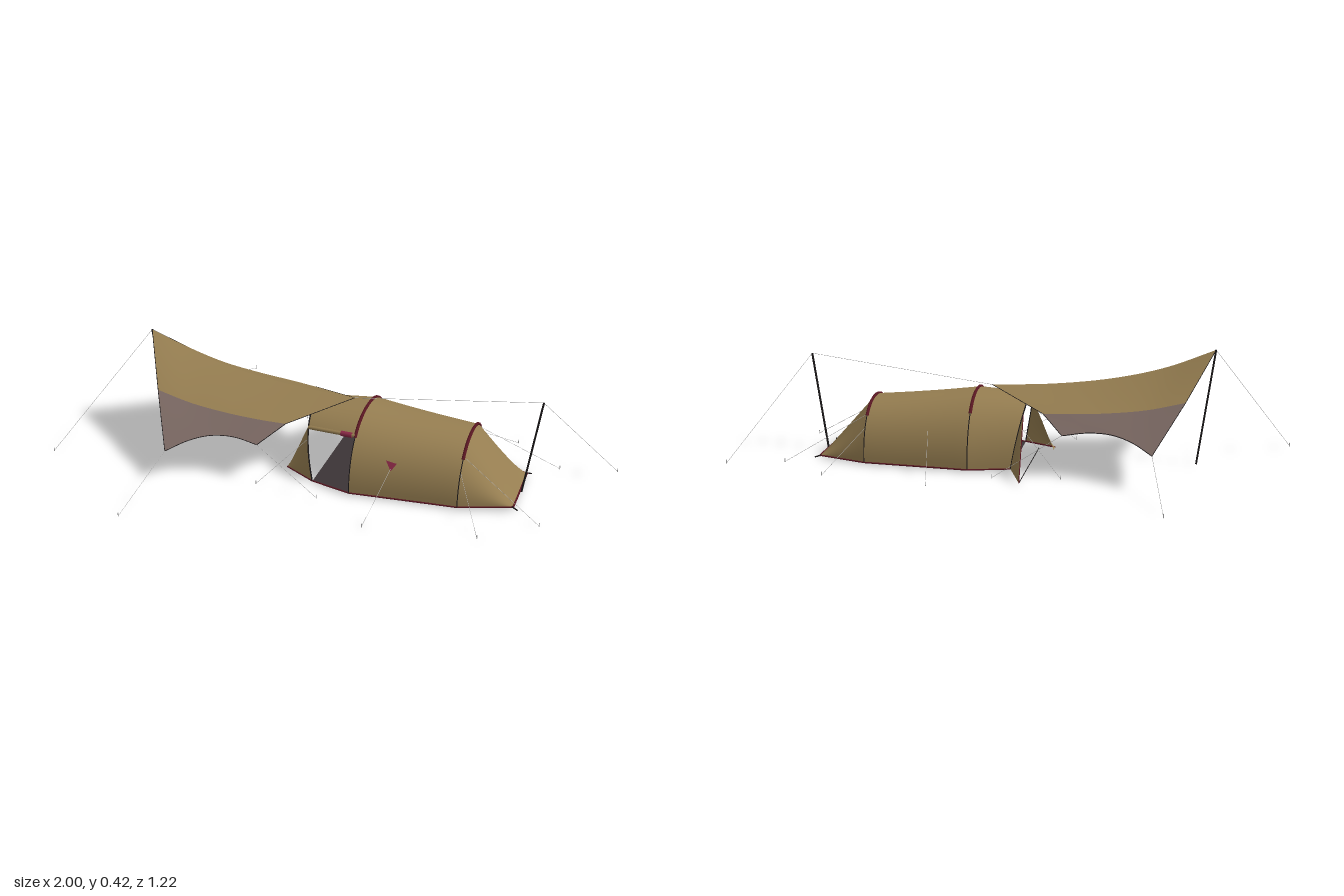
import * as THREE from 'three';

const mat = (name, color, side = THREE.FrontSide) => {
  const m = new THREE.MeshStandardMaterial({ color, side });
  m.name = name;
  return m;
};
const V = (x, y, z) => new THREE.Vector3(x, y, z);
const RAD = Math.PI / 180;

export function createModel() {
  const model = new THREE.Group();
  model.name = 'tunnelTentWithTarp';
  const gold = mat('golden canvas', 0x967e51, THREE.DoubleSide);
  const grey = mat('grey canvas', 0x7a6862);
  const brown = mat('brown tarp lining', 0x5e4638);
  const dark = mat('dark groundsheet', 0x3c3436, THREE.DoubleSide);
  const maroon = mat('maroon trim', 0x5a1622);
  const crimson = mat('crimson tabs', 0x8e2a48, THREE.DoubleSide);
  const black = mat('black pole', 0x1c191a);
  const cord = mat('cord grey', 0xb4b4b4);

  const add = (name, geometry, material) => {
    const m = new THREE.Mesh(geometry, material);
    m.name = name;
    model.add(m);
    return m;
  };

  // Smooth sheet sampled from a rule f(u, v)
  const sheet = (f, nu, nv) => {
    const pos = [], idx = [];
    for (let j = 0; j <= nv; j++)
      for (let i = 0; i <= nu; i++) pos.push(...f(i / nu, j / nv).toArray());
    for (let j = 0; j < nv; j++)
      for (let i = 0; i < nu; i++) {
        const a = j * (nu + 1) + i, b = a + nu + 1;
        idx.push(a, a + 1, b, a + 1, b + 1, b);
      }
    const g = new THREE.BufferGeometry();
    g.setAttribute('position', new THREE.Float32BufferAttribute(pos, 3));
    g.setIndex(idx);
    g.computeVertexNormals();
    return g;
  };

  // Straight rod between two points
  const rod = (name, a, b, r, material) => {
    const d = b.clone().sub(a);
    const m = add(name, new THREE.CylinderGeometry(r, r, d.length(), 6), material);
    m.position.copy(a).addScaledVector(d, 0.5);
    m.quaternion.setFromUnitVectors(V(0, 1, 0), d.normalize());
  };
  const tube = (name, pts, r, material) =>
    add(name, new THREE.TubeGeometry(new THREE.CatmullRomCurve3(pts), 48, r, 6), material);

  // Hoop cross-sections: angle 0 is the +z foot, PI the -z foot
  const spow = (v, p) => Math.sign(v) * Math.pow(Math.abs(v), p);
  const hoop = (x, w, h, lean = 0) => (t, s = 1) =>
    V(x - lean * Math.sin(t), 0.006 + (h - 0.006) * Math.pow(Math.abs(Math.sin(t)), 0.92) * s, w * spow(Math.cos(t), 0.9) * s);
  const hoop1 = hoop(-0.015, 0.185, 0.237, 0.045);
  const hoop2 = hoop(0.133, 0.22, 0.25);
  const hoop3 = hoop(0.513, 0.185, 0.212);
  const foot = (x) => (t) => V(x, 0.008, 0.12 * spow(Math.cos(t), 0.9));
  const ruled = (a, b, t0, t1, sag = 0) => sheet((u, v) => {
    const t = (t0 + (t1 - t0) * u) * RAD;
    const p = a(t).lerp(b(t), v), k = 1 - sag * Math.sin(Math.PI * v);
    return V(p.x, p.y * k, p.z * k);
  }, 40, 8);

  // Tent canvas
  add('mainTunnel', ruled(hoop2, hoop3, 0, 180, 0.012), gold);
  add('rearEnd', ruled(hoop3, foot(0.695), 0, 180), gold);
  add('porchCanopy', ruled(hoop1, hoop2, 50, 180), gold);
  add('porchFrontPanel', ruled(hoop1, foot(-0.135), 0, 52), gold);

  // Opened door flap, pegged out to the side
  const tip = V(-0.068, 0.006, -0.343);
  add('openDoorFlap', sheet((u, v) => hoop1((180 - 52 * u) * RAD).lerp(tip, v), 12, 6), gold);
  rod('flapEdge', hoop1(128 * RAD), tip, 0.0018, maroon);
  rod('flapCord', V(-0.105, 0.066, -0.11), tip, 0.0014, black);

  // Rolled-up side door with its tie
  const rollA = hoop1(50 * RAD), rollB = hoop2(50 * RAD);
  rod('rolledDoor', rollA, rollB, 0.007, gold);
  rod('doorTie', rollA.clone().lerp(rollB, 0.7), rollA.clone().lerp(rollB, 0.93), 0.0095, crimson);

  // Groundsheet
  const half = [[-0.015, 0.185], [0.133, 0.22], [0.513, 0.185], [0.695, 0.12]];
  const outline = [...half, ...half.map(([x, z]) => [x, -z]).reverse()];
  const floor = new THREE.ShapeGeometry(new THREE.Shape(outline.map(([x, z]) => new THREE.Vector2(x, -z))));
  add('groundsheet', floor.rotateX(-Math.PI / 2).translate(0, 0.005, 0), dark);

  // Trim along the sides, rear and front panel hem
  for (let i = 0; i < outline.length - 1; i++) {
    const [x, z] = outline[i], [x2, z2] = outline[i + 1];
    rod('baseTrim', V(x, 0.007, z), V(x2, 0.007, z2), i === 3 ? 0.004 : 0.0028, maroon);
  }
  rod('baseTrim', V(-0.135, 0.007, 0.12), V(-0.015, 0.007, 0.185), 0.0028, maroon);

  // Inner tent wall behind the porch
  add('innerWall', sheet((u, v) => {
    const p = hoop2(u * Math.PI, 0.97);
    return V(0.14, p.y * v + 0.006 * (1 - v), p.z);
  }, 32, 2), dark);

  // Hoop poles and the sleeves over their tops
  [hoop1, hoop2, hoop3].forEach((h, i) => {
    const arc = (a, b) => Array.from({ length: 17 }, (_, k) => h((a + (b - a) * k / 16) * RAD, 1.003));
    tube('hoopPole', arc(0, 180), i ? 0.0017 : 0.0025, black);
    if (i) tube('hoopSleeve', arc(48, 132), 0.0058, maroon);
  });

  // Tarp: ridge, panel seam and scalloped outer edge, with a darker lining
  const curve = (...p) => new THREE.CatmullRomCurve3(p.map((q) => V(...q)));
  const ridge = curve([-0.71, 0.415, 0], [-0.54, 0.348, 0], [-0.36, 0.304, 0], [-0.14, 0.276, 0], [0.08, 0.265, 0]);
  const span = (a, b) => sheet((u, v) => a.getPoint(u).lerp(b.getPoint(u), v), 24, 6);
  for (const s of [1, -1]) {
    const seam = curve([-0.612, 0.262, 0.17 * s], [-0.48, 0.232, 0.172 * s], [-0.34, 0.215, 0.17 * s], [-0.22, 0.207, 0.165 * s], [-0.125, 0.202, 0.155 * s]);
    const edge = curve([-0.51, 0.12, 0.342 * s], [-0.44, 0.148, 0.288 * s], [-0.37, 0.162, 0.253 * s], [-0.29, 0.162, 0.237 * s], [-0.2, 0.15, 0.242 * s]);
    const panel = (name, inner, outer, top, lining) => {
      const [a, b] = s > 0 ? [outer, inner] : [inner, outer];
      add(name, span(a, b), top).material.side = THREE.FrontSide === top.side ? THREE.FrontSide : top.side;
      add(name + 'Lining', span(b, a).translate(0, -0.002, 0), lining);
    };
    panel('tarpCentrePanel', ridge, seam, gold, brown);
    panel('tarpOuterPanel', seam, edge, grey, dark);
    add('tarpEdgeCord', new THREE.TubeGeometry(edge, 24, 0.0012, 4), black);
    for (const u of [0, 1]) {
      rod('tarpEdgeCord', ridge.getPoint(u), seam.getPoint(u), 0.0012, black);
      rod('tarpEdgeCord', seam.getPoint(u), edge.getPoint(u), 0.0012, black);
    }
  }

  // Tarp poles
  rod('tarpFrontPole', V(-0.655, 0, 0), V(-0.71, 0.415, 0), 0.0038, black);
  rod('tarpRearPole', V(0.7, 0, 0), V(0.75, 0.36, 0), 0.0038, black);

  // Guy lines, each ending at a small peg
  const guy = (a, b) => {
    rod('guyLine', V(...a), V(...b), 0.0007, cord);
    rod('peg', V(b[0], 0, b[2]), V(b[0], 0.014, b[2]), 0.0015, cord);
  };
  rod('ridgeLine', V(0.08, 0.265, 0), V(0.75, 0.36, 0), 0.0007, cord);
  guy([-0.71, 0.415, 0], [-1, 0.002, 0.29]);
  guy([0.75, 0.36, 0], [1, 0.002, -0.25]);
  for (const s of [1, -1]) {
    guy([-0.51, 0.12, 0.342 * s], [-0.56, 0.002, 0.61 * s]);
    guy([-0.2, 0.15, 0.242 * s], [0.035, 0.002, 0.28 * s]);
    guy([-0.045, 0.15, 0.145 * s], [-0.2, 0.002, 0.26 * s]);
    guy([0.28, 0.13, 0.178 * s], [0.24, 0.002, 0.4 * s]);
    guy([0.51, 0.13, 0.15 * s], [0.62, 0.002, 0.34 * s]);
    guy([0.51, 0.17, 0.115 * s], [0.8, 0.002, 0.2 * s]);
    rod('rearPegLoop', V(0.69, 0.008, 0.12 * s), V(0.712, 0.003, 0.13 * s), 0.0025, black);
  }

  // Triangular guy anchor on the left side of the tunnel
  const anchor = [V(0.257, 0.144, 0.187), V(0.278, 0.112, 0.2), V(0.296, 0.138, 0.187)];
  add('guyAnchor', new THREE.BufferGeometry().setFromPoints(anchor), crimson).geometry.computeVertexNormals();
  return model;
}
